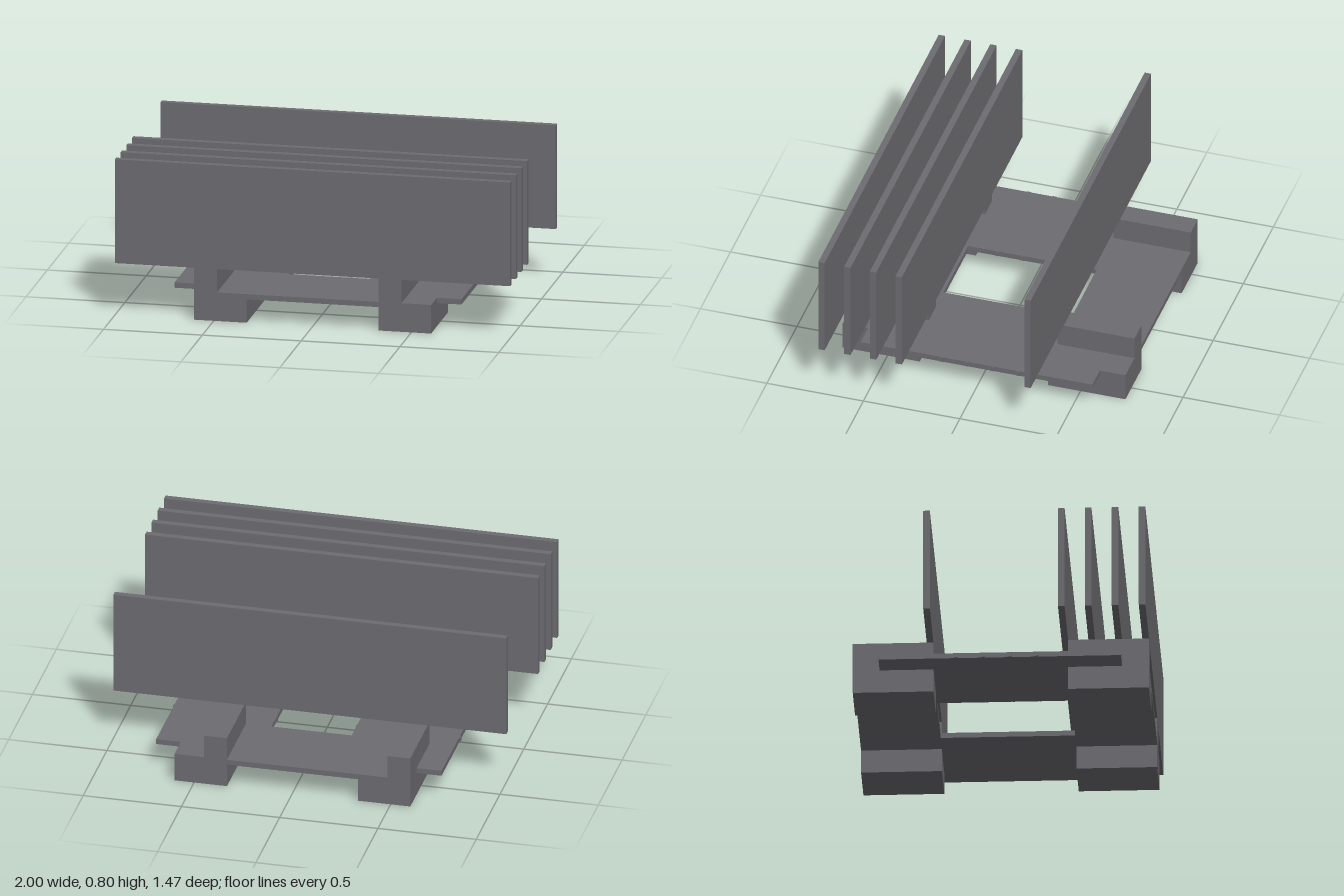
import * as THREE from 'three';

export function createModel() {
  const model = new THREE.Group();
  const grey = new THREE.MeshStandardMaterial({ color: 0x6d6c71 });
  grey.name = 'grey';

  // Box given by its minimum and maximum corners
  function block(name, [x0, y0, z0], [x1, y1, z1], parent = model) {
    const mesh = new THREE.Mesh(new THREE.BoxGeometry(x1 - x0, y1 - y0, z1 - z0), grey);
    mesh.position.set((x0 + x1) / 2, (y0 + y1) / 2, (z0 + z1) / 2);
    mesh.name = name;
    parent.add(mesh);
  }

  const deckBottom = 0.12, deckTop = 0.147, railTop = 0.267;

  // Deck: stepped outline with a rectangular opening
  const outline = new THREE.Shape([
    [-0.6, -0.733], [0.6, -0.733], [0.6, -0.6], [0.725, -0.6],
    [0.725, 0.6], [0.6, 0.6], [0.6, 0.733], [-0.6, 0.733],
    [-0.6, 0.6], [-0.727, 0.6], [-0.727, -0.6], [-0.6, -0.6],
  ].map(([x, z]) => new THREE.Vector2(x, z)));
  outline.holes.push(new THREE.Path([
    [-0.205, -0.333], [-0.205, 0.333], [0.203, 0.333], [0.203, -0.333],
  ].map(([x, z]) => new THREE.Vector2(x, z))));
  const deckGeometry = new THREE.ExtrudeGeometry(outline, {
    depth: deckTop - deckBottom, bevelEnabled: false,
  });
  deckGeometry.rotateX(-Math.PI / 2);
  const deck = new THREE.Mesh(deckGeometry, grey);
  deck.position.y = deckBottom;
  deck.name = 'deck';
  model.add(deck);

  // Small plank tongues that stand proud of the deck edges
  for (const z of [-0.217, -0.083, 0.05, 0.183]) {
    for (const [x0, x1] of [[-0.733, -0.2], [0.2, 0.73]]) {
      block('plankTongue', [x0, deckBottom + 0.002, z - 0.01], [x1, deckTop - 0.002, z + 0.01]);
    }
  }

  // Four supports: a wide foot under the deck and a narrow rail above it
  for (const [z0, z1] of [[0.333, 0.733], [-0.733, -0.333]]) {
    for (const x of [-0.6, 0.333]) {
      const support = new THREE.Group();
      support.name = 'support';
      model.add(support);
      block('foot', [x, 0, z0], [x + 0.267, deckBottom, z1], support);
      block('rail', [x, deckTop, z0], [x + 0.117, railTop, z1], support);
    }
  }

  // Upright panels: four at the front and one at the back
  for (const z of [0.717, 0.583, 0.45, 0.317, -0.35]) {
    block('panel', [-1, railTop, z - 0.0165], [1, 0.8, z + 0.0165]);
  }

  return model;
}
